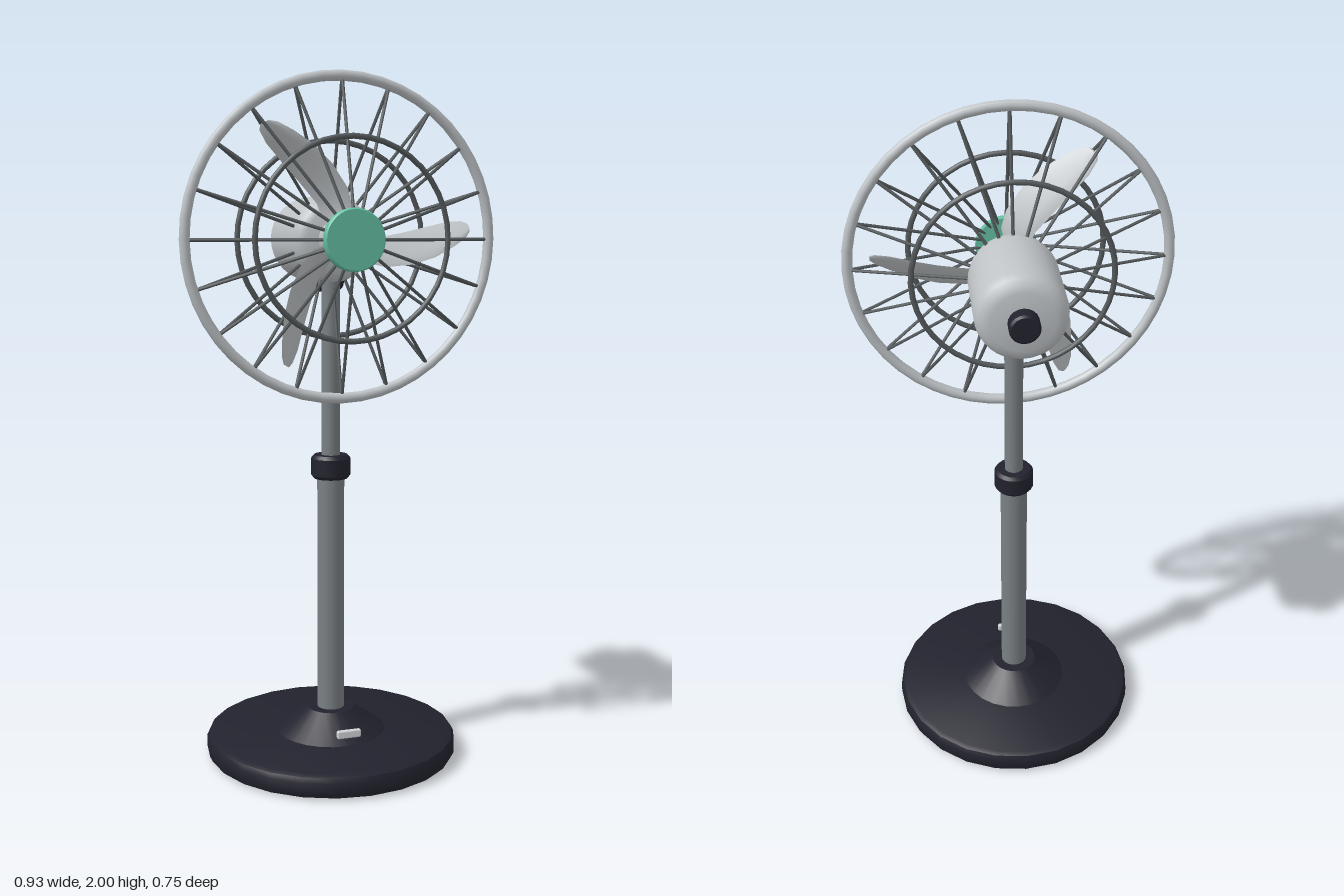
import * as THREE from 'three';
import { toCreasedNormals } from 'three/addons/utils/BufferGeometryUtils.js';
import { RoundedBoxGeometry } from 'three/addons/geometries/RoundedBoxGeometry.js';

const material = (name, color) => {
  const m = new THREE.MeshStandardMaterial({ color });
  m.name = name;
  return m;
};

// Turned part: profile of [radius, height] points, from bottom to top
const turned = (points, sides) => toCreasedNormals(
  new THREE.LatheGeometry(points.map(([r, y]) => new THREE.Vector2(r, y)), sides), 0.6);

// Swept, pitched blade lofted from thin oval sections along +x
function bladeGeometry() {
  // [distance from axis, leading edge y, trailing edge y]
  const sections = [[0.03, 0.025, -0.03], [0.07, 0.01, -0.065], [0.12, 0.005, -0.077],
    [0.2, 0.02, -0.07], [0.27, 0.036, -0.05], [0.33, 0.05, -0.02], [0.37, 0.052, 0.005], [0.385, 0.045, 0.022]];
  const n = 10, pos = [], idx = [];
  for (const [x, lead, trail] of sections) {
    const mid = (lead + trail) / 2, half = (lead - trail) / 2;
    for (let i = 0; i < n; i++) {
      const a = i / n * Math.PI * 2;
      const y = mid + half * Math.cos(a);
      pos.push(x, y, -0.8 * half * Math.cos(a) + 0.006 * Math.sin(a));
    }
  }
  const last = sections.length - 1;
  for (let s = 0; s < last; s++) {
    for (let i = 0; i < n; i++) {
      const a = s * n + i, b = s * n + (i + 1) % n;
      idx.push(a, b, a + n, b, b + n, a + n);
    }
  }
  for (let i = 1; i < n - 1; i++) {
    idx.push(0, i + 1, i);
    idx.push(last * n, last * n + i, last * n + i + 1);
  }
  const g = new THREE.BufferGeometry();
  g.setAttribute('position', new THREE.Float32BufferAttribute(pos, 3));
  g.setIndex(idx);
  g.computeVertexNormals();
  return toCreasedNormals(g, 0.9);
}

export function createModel() {
  const dark = material('dark plastic', 0x22222e);
  const pale = material('pale shell', 0xbfc3c6);
  const steel = material('pole steel', 0x7a8083);
  const wire = material('cage wire', 0x555a5c);
  const green = material('green cap', 0x64bfa2);
  const badgeMat = material('badge', 0xd2d4d6);

  const model = new THREE.Group();
  const add = (parent, name, geometry, mat, x = 0, y = 0, z = 0) => {
    const mesh = new THREE.Mesh(geometry, mat);
    mesh.name = name;
    mesh.position.set(x, y, z);
    parent.add(mesh);
    return mesh;
  };

  // Base and stand
  add(model, 'base', turned([[0, 0], [0.355, 0], [0.368, 0.006], [0.375, 0.02], [0.375, 0.05],
    [0.368, 0.064], [0.355, 0.07], [0, 0.07]], 24), dark);
  add(model, 'baseCone', turned([[0.17, 0.065], [0.08, 0.13], [0.07, 0.138], [0, 0.138]], 24), dark);
  add(model, 'badge', new RoundedBoxGeometry(0.072, 0.024, 0.015, 2, 0.005), badgeMat, 0, 0.112, 0.172);
  add(model, 'lowerPole', new THREE.CylinderGeometry(0.04, 0.04, 0.74, 24), steel, 0, 0.49);
  add(model, 'upperPole', new THREE.CylinderGeometry(0.027, 0.027, 0.62, 20), steel, 0, 1.16);
  add(model, 'collar', turned([[0, 0.84], [0.05, 0.84], [0.058, 0.85], [0.058, 0.9],
    [0.05, 0.91], [0, 0.91]], 20), dark);

  // Head, centred on the fan axis
  const head = new THREE.Group();
  head.name = 'head';
  head.position.y = 1.537;
  model.add(head);

  const motor = add(head, 'motor', turned([[0, -0.24], [0.085, -0.24], [0.105, -0.234], [0.119, -0.219],
    [0.125, -0.195], [0.125, 0.005], [0.12, 0.03], [0.108, 0.05], [0.09, 0.06], [0, 0.06]], 32), pale);
  motor.rotation.x = Math.PI / 2;
  const knob = add(head, 'rearKnob', turned([[0, -0.28], [0.036, -0.28], [0.042, -0.274],
    [0.042, -0.23], [0, -0.23]], 20), dark);
  knob.rotation.x = Math.PI / 2;
  add(head, 'tiltJoint', new RoundedBoxGeometry(0.1, 0.06, 0.15, 3, 0.025), dark, 0, -0.12, -0.085);

  // Propeller
  const propeller = new THREE.Group();
  propeller.name = 'propeller';
  propeller.position.z = 0.1;
  head.add(propeller);
  const hub = add(propeller, 'hub', turned([[0, -0.045], [0.055, -0.045], [0.055, 0.025],
    [0.045, 0.037], [0, 0.042]], 24), pale);
  hub.rotation.x = Math.PI / 2;
  const blade = bladeGeometry();
  for (let i = 0; i < 3; i++) {
    add(propeller, 'blade', blade, pale).rotation.z = i * Math.PI * 2 / 3;
  }

  // Cage: outer rim, a ring on each side and two cones of spokes
  add(head, 'rim', new THREE.TorusGeometry(0.448, 0.015, 10, 48), pale, 0, 0, 0.102);
  for (const [name, hubZ] of [['front', 0.205], ['back', 0.005]]) {
    add(head, name + 'Ring', new THREE.TorusGeometry(0.278, 0.008, 8, 40), wire, 0, 0, hubZ);
    const spoke = new THREE.TubeGeometry(new THREE.LineCurve3(
      new THREE.Vector3(0.07, 0, hubZ), new THREE.Vector3(0.448, 0, 0.102)), 1, 0.0048, 6);
    for (let i = 0; i < 20; i++) {
      add(head, name + 'Spoke', spoke, wire).rotation.z = i * Math.PI / 10;
    }
  }
  const cap = add(head, 'frontCap', turned([[0, 0.2], [0.087, 0.2], [0.087, 0.221],
    [0.083, 0.226], [0, 0.226]], 32), green);
  cap.rotation.x = Math.PI / 2;

  return model;
}
